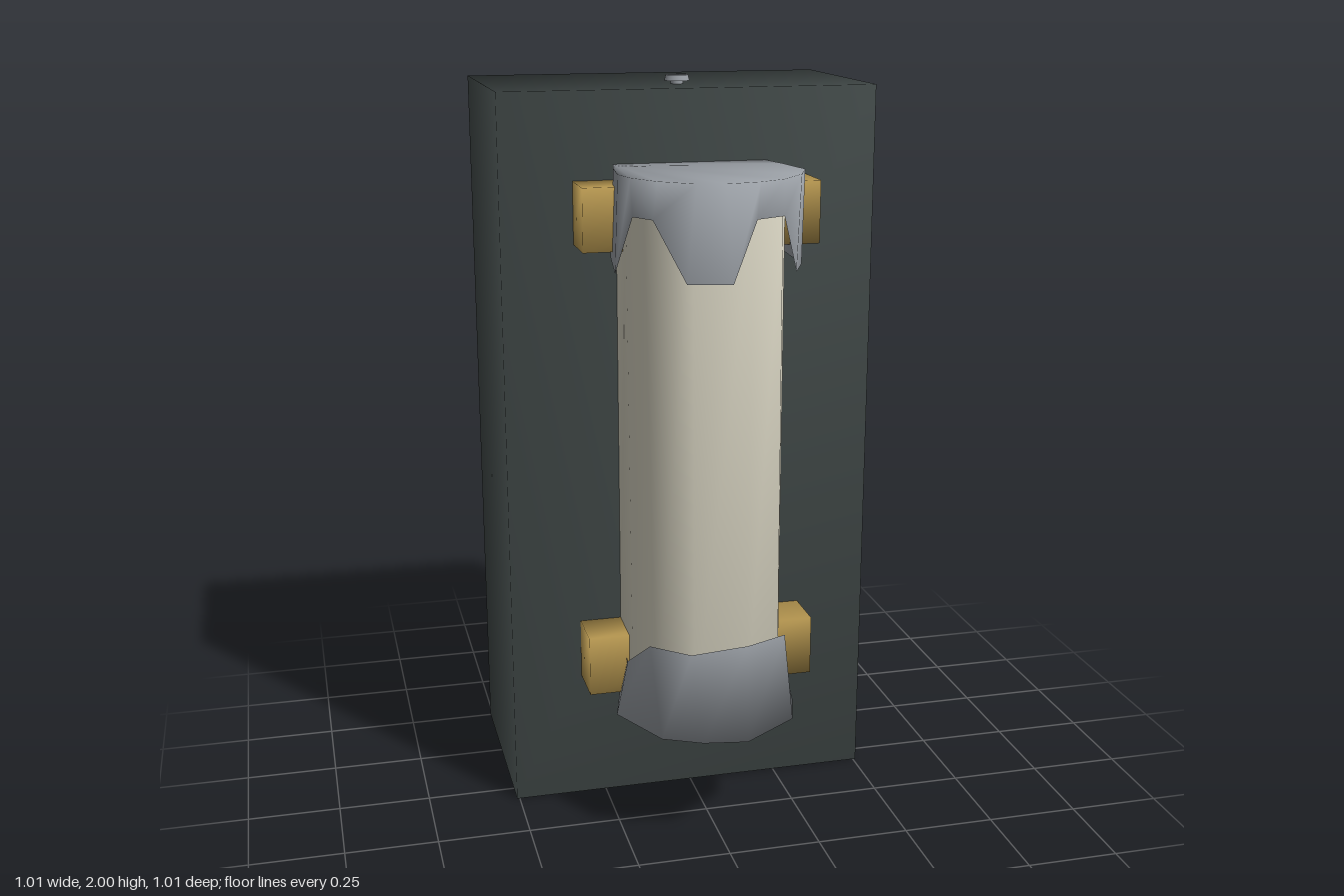
import * as THREE from 'three';
import { mergeVertices } from 'three/addons/utils/BufferGeometryUtils.js';

const mat = (name, color, extra = {}) => new THREE.MeshStandardMaterial({ name, color, ...extra });

// Skin between two rings of [x, y, z] points, listed left to right round the front
function loft(lower, upper, closeBottom, closeTop) {
  const n = lower.length, index = [];
  for (let i = 0; i < n; i++) {
    const j = (i + 1) % n;
    index.push(i, j, n + j, i, n + j, n + i);
  }
  for (let i = 1; i < n - 1; i++) {
    if (closeBottom) index.push(0, i + 1, i);
    if (closeTop) index.push(n, n + i, n + i + 1);
  }
  const g = new THREE.BufferGeometry();
  g.setAttribute('position', new THREE.Float32BufferAttribute([...lower, ...upper].flat(), 3));
  g.setIndex(index);
  g.computeVertexNormals();
  return g;
}

// Box with normals shared across its corners, for soft shading
function softBox(w, h, d) {
  const g = new THREE.BoxGeometry(w, h, d);
  g.deleteAttribute('normal');
  g.deleteAttribute('uv');
  const merged = mergeVertices(g);
  merged.computeVertexNormals();
  return merged;
}

const atHeight = (y, ring) => ring.map(([x, z]) => [x, y, z]);

export function createModel() {
  const model = new THREE.Group();
  model.name = 'wallUnit';
  const dark = mat('darkCasing', 0x424a49);
  const ivory = mat('ivory', 0xd6d2c0);
  const grey = mat('greyMetal', 0x989da3, { side: THREE.DoubleSide });
  const brass = mat('brass', 0xb4954f);
  const slotDark = mat('slotShadow', 0x2a2d2f);

  const add = (name, geometry, material, x = 0, y = 0, z = 0) => {
    const mesh = new THREE.Mesh(geometry, material);
    mesh.name = name;
    mesh.position.set(x, y, z);
    model.add(mesh);
    return mesh;
  };

  // Casing
  add('casing', softBox(1.015, 1.975, 0.568), dark, 0, 0.9875, -0.221);

  // Brass brackets behind the collars
  add('lowerBracket', softBox(0.63, 0.165, 0.15), brass, 0, 0.4425, 0.12);
  add('upperBracket', softBox(0.63, 0.165, 0.15), brass, 0, 1.6625, 0.12);

  // Ivory column, slightly twisted from foot to head
  const foot = [[-0.2, 0.05], [-0.205, 0.24], [-0.17, 0.37], [-0.08, 0.425],
    [0.06, 0.43], [0.16, 0.385], [0.2, 0.25], [0.2, 0.05]];
  const head = [[-0.2, 0.05], [-0.215, 0.25], [-0.195, 0.37], [-0.09, 0.44],
    [0.06, 0.445], [0.148, 0.405], [0.195, 0.27], [0.195, 0.05]];
  add('column', loft(atHeight(0.36, foot), atHeight(1.72, head), true, true), ivory);

  // Upper collar with a notched lower edge
  const collarEdge = [[-0.2, 1.6, 0.05], [-0.235, 1.56, 0.15], [-0.25, 1.54, 0.28],
    [-0.217, 1.69, 0.34], [-0.18, 1.69, 0.4], [-0.11, 1.54, 0.465], [0, 1.54, 0.49],
    [0.07, 1.69, 0.45], [0.15, 1.69, 0.412], [0.2, 1.54, 0.36], [0.245, 1.54, 0.26],
    [0.225, 1.56, 0.15], [0.2, 1.6, 0.05]];
  const collarTop = [[-0.205, 0.05], [-0.225, 0.15], [-0.237, 0.26], [-0.22, 0.33],
    [-0.17, 0.41], [-0.09, 0.475], [-0.02, 0.49], [0.07, 0.475], [0.14, 0.44],
    [0.21, 0.36], [0.247, 0.27], [0.225, 0.15], [0.2, 0.05]];
  add('upperCollar', loft(collarEdge, atHeight(1.785, collarTop), false, true), grey);

  // Flared lower collar
  const flare = [[-0.2, 0.05], [-0.255, 0.26], [-0.17, 0.435], [-0.07, 0.485],
    [0.045, 0.505], [0.2, 0.4], [0.237, 0.28], [0.2, 0.05]];
  const rim = [[-0.2, 0.45, 0.05], [-0.215, 0.46, 0.22], [-0.19, 0.57, 0.385],
    [-0.09, 0.555, 0.435], [0.06, 0.57, 0.445], [0.175, 0.57, 0.395],
    [0.212, 0.46, 0.24], [0.205, 0.45, 0.05]];
  add('lowerCollar', loft(atHeight(0.325, flare), rim, true, false), grey);

  // Slotted screw on the top
  add('screwNeck', new THREE.CylinderGeometry(0.017, 0.017, 0.015, 20), grey, 0, 1.98, -0.09);
  add('screwHead', new THREE.CylinderGeometry(0.03, 0.034, 0.015, 24), grey, 0, 1.991, -0.09);
  add('screwSlot', new THREE.BoxGeometry(0.05, 0.002, 0.006), slotDark, 0, 1.999, -0.09);

  // Small sliver of a stud on the front
  const stud = new THREE.CylinderGeometry(0.02, 0.02, 0.008, 12, 1, false, Math.PI / 2, Math.PI);
  stud.rotateX(Math.PI / 2);
  add('frontStud', stud, grey, 0, 0.138, 0.064).scale.y = 0.4;

  return model;
}
